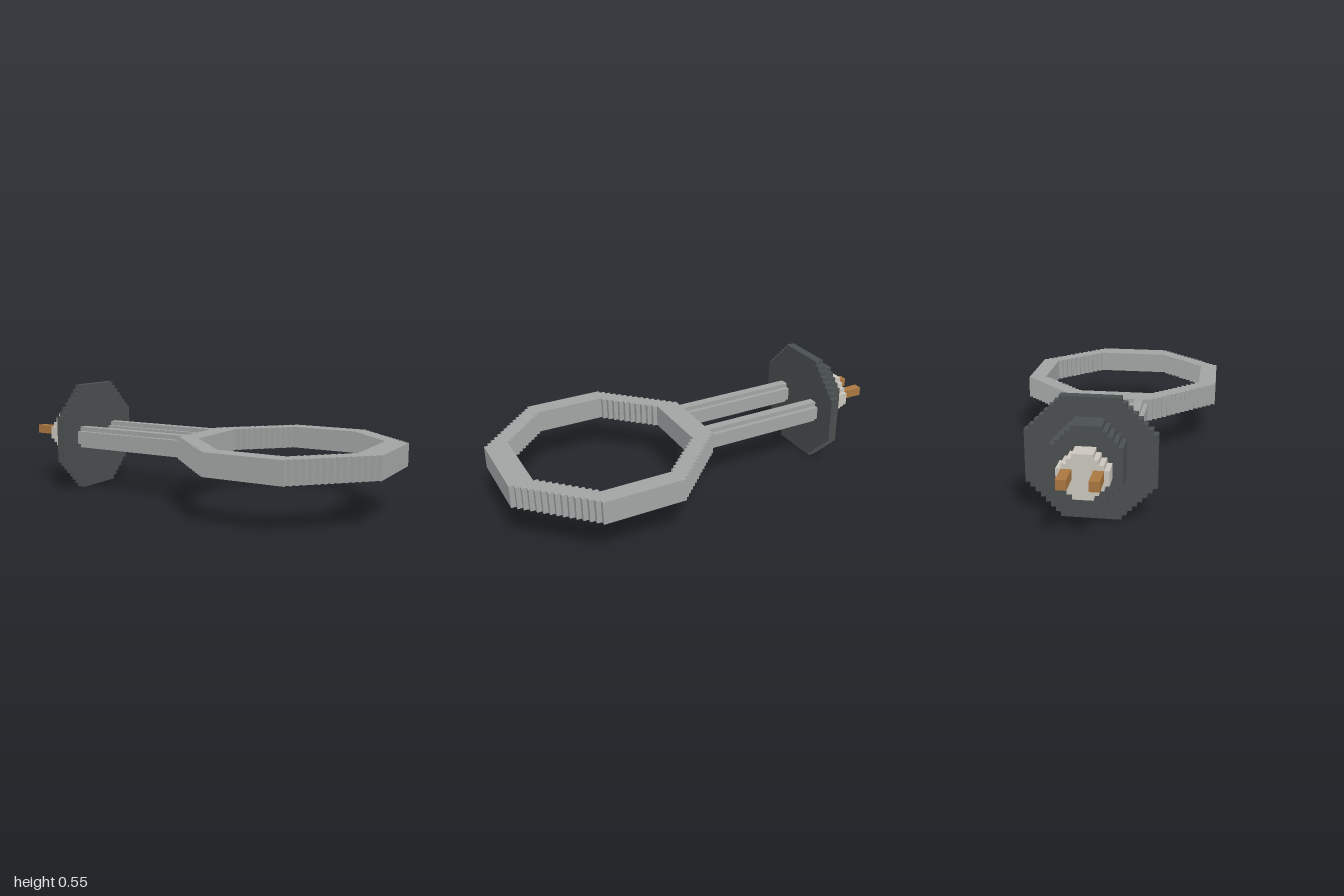
import * as THREE from 'three';

const S = 2 / 91; // one stair step; all sizes below are counted in steps

// Octagon outline whose four diagonals are staircases of n steps
function steppedOctagon(halfW, halfH, n) {
  const corner = []; // first quadrant, from the right side up to the top
  for (let i = 0; i <= n; i++) {
    const x = halfW - i, y = halfH - n + i;
    corner.push([x, y]);
    if (i < n) corner.push([x - 1, y]);
  }
  const back = [...corner].reverse();
  return [
    ...corner,
    ...back.map(([x, y]) => [-x, y]),
    ...corner.map(([x, y]) => [-x, -y]),
    ...back.map(([x, y]) => [x, -y]),
  ].map(([x, y]) => new THREE.Vector2(x * S, y * S));
}

const extrude = (shape, depth) =>
  new THREE.ExtrudeGeometry(shape, { depth: depth * S, bevelEnabled: false });

export function createModel() {
  const model = new THREE.Group();
  const mat = (name, color) => new THREE.MeshStandardMaterial({ name, color });
  const grey = mat('grey', 0xa0a5a4);
  const dark = mat('darkGrey', 0x4a4f50);
  const pale = mat('paleGrey', 0xcac6bd);
  const brown = mat('brown', 0xa9773f);

  const add = (name, geometry, material) => {
    const mesh = new THREE.Mesh(geometry, material);
    mesh.name = name;
    model.add(mesh);
    return mesh;
  };

  // Stepped prism lying along x, from step x0 to x1
  const prism = (name, material, x0, x1, halfZ, halfY, n, y, z = 0) => {
    const g = extrude(new THREE.Shape(steppedOctagon(halfZ, halfY, n)), x1 - x0);
    g.rotateY(Math.PI / 2);
    add(name, g, material).position.set(-1 + x0 * S, y * S, z * S);
  };

  // Plug end: flange, base and collar
  prism('flange', dark, 14, 16, 13, 12.5, 7, 12.5);
  prism('base', dark, 9, 14, 7, 8, 4, 13);
  prism('collar', pale, 5, 9, 5, 4.5, 3, 12.5);

  // Paired prongs and rods
  for (const side of [-1, 1]) {
    prism('prong', brown, 0, 5, 1, 1, 0, 13, side * 3);
    prism('rod', grey, 16, 45, 2, 2.5, 1, 12.5, side * 6);
  }

  // Octagonal ring lying flat
  const ring = new THREE.Shape(steppedOctagon(23, 23, 14));
  ring.holes.push(new THREE.Path(steppedOctagon(18, 19, 10)));
  const ringGeometry = extrude(ring, 5);
  ringGeometry.rotateX(-Math.PI / 2);
  add('ring', ringGeometry, grey).position.set(-1 + 68 * S, 10 * S, 0);

  return model;
}
